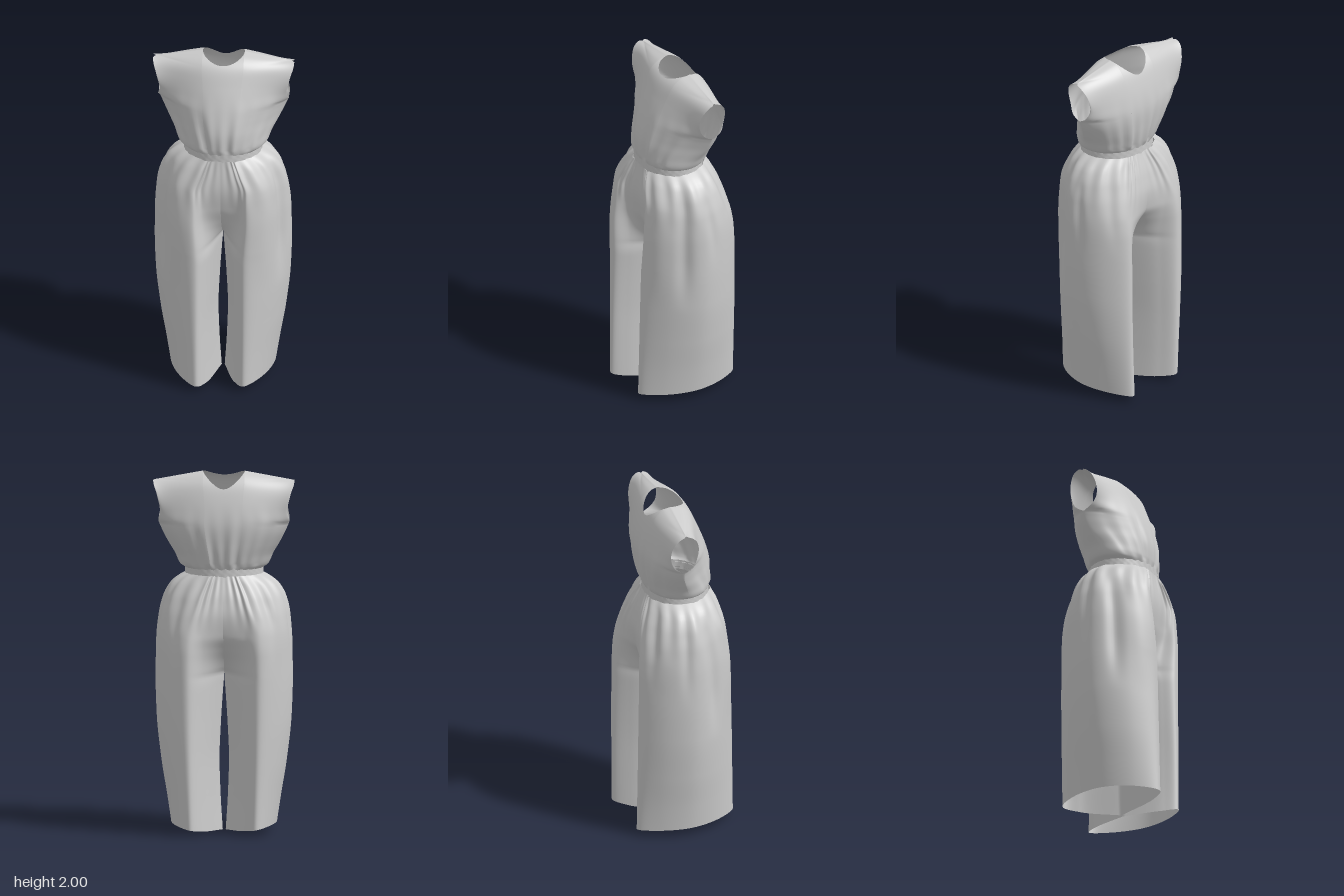
import * as THREE from 'three';
import { mergeGeometries, mergeVertices } from 'three/addons/utils/BufferGeometryUtils.js';

const cloth = new THREE.MeshStandardMaterial({ color: 0xcccccc, roughness: 0.9, side: THREE.DoubleSide });
const { lerp, clamp, smoothstep } = THREE.MathUtils;

// Smooth curve through [key, value] pairs sorted by key, without overshoot
function curve(pairs) {
  const slope = (i) => (pairs[i + 1][1] - pairs[i][1]) / (pairs[i + 1][0] - pairs[i][0]);
  const last = pairs.length - 1;
  const tangent = (i) => {
    if (i === 0) return slope(0);
    if (i === last) return slope(last - 1);
    const a = slope(i - 1), b = slope(i);
    return a * b <= 0 ? 0 : (2 * a * b) / (a + b);
  };
  return (key) => {
    const k = clamp(key, pairs[0][0], pairs[last][0]);
    let i = 0;
    while (i < last - 1 && k > pairs[i + 1][0]) i++;
    const h = pairs[i + 1][0] - pairs[i][0], t = (k - pairs[i][0]) / h;
    const a = t * t * (3 - 2 * t);
    return pairs[i][1] * (1 - a) + pairs[i + 1][1] * a
      + h * (tangent(i) * t * (1 - t) * (1 - t) - tangent(i + 1) * t * t * (1 - t));
  };
}

// Cloth sheet from a point rule: point(column, row) gives [x, y, z]
function sheet(cols, rows, point) {
  const pos = [], index = [];
  for (let r = 0; r <= rows; r++)
    for (let c = 0; c <= cols; c++) pos.push(...point(c, r));
  for (let r = 0; r < rows; r++)
    for (let c = 0; c < cols; c++) {
      const a = r * (cols + 1) + c, b = a + cols + 1;
      index.push(a, a + 1, b, a + 1, b + 1, b);
    }
  const geo = new THREE.BufferGeometry();
  geo.setAttribute('position', new THREE.Float32BufferAttribute(pos, 3));
  geo.setIndex(index);
  return geo;
}

function addMesh(group, name, geometry) {
  const geo = mergeVertices(geometry, 1e-4);
  geo.computeVertexNormals();
  const mesh = new THREE.Mesh(geo, cloth);
  mesh.name = name;
  group.add(mesh);
}

// ---- Bodice ----
const SHOULDER_Z = -0.06, NECK_X = 0.115, TOP_X = 0.388;
const bodiceWidth = curve([[1.46, 0.215], [1.48, 0.243], [1.54, 0.27], [1.6, 0.304], [1.68, 0.343], [1.73, 0.36],
  [1.79, 0.35], [1.88, 0.368], [1.95, 0.388], [2, 0.388]]);
const profile = (pts) => new THREE.CatmullRomCurve3(pts.map(([y, z]) => new THREE.Vector3(0, y, z)));
const panels = {
  front: { side: 1, neckDepth: 0.105, fall: [2, 0.85], path: profile([[1.46, 0.182], [1.51, 0.188], [1.6, 0.187],
    [1.72, 0.158], [1.85, 0.108], [1.95, 0.057], [1.985, 0.01], [2, SHOULDER_Z]]) },
  back: { side: -1, neckDepth: 0.11, fall: [2.5, 0.62], path: profile([[1.46, -0.172], [1.51, -0.188], [1.6, -0.205],
    [1.72, -0.214], [1.85, -0.191], [1.94, -0.155], [1.985, -0.108], [2, SHOULDER_Z]]) },
};

function bodicePoint(panel, u, t) {
  const p = panel.path.getPoint(t), up = smoothstep(p.y, 1.46, 1.65), au = Math.abs(u);
  // shoulders slope down outward
  const slope = clamp((au * TOP_X - NECK_X) / (TOP_X - NECK_X), 0, 1);
  const y = p.y - 0.05 * slope * smoothstep(p.y, 1.5, 2);
  // side seam opens into the armhole
  const k = (y - 1.835) / 0.117;
  const edge = lerp(0.005, SHOULDER_Z, smoothstep(y, 1.46, 1.7))
    + panel.side * 0.08 * au ** 2.5 * Math.sqrt(Math.max(0, 1 - k * k));
  const round = Math.pow(1 - Math.pow(au, lerp(2, panel.fall[0], up)), lerp(0.5, panel.fall[1], up));
  // gathers rising from the waist
  const gather = 0.0045 * smoothstep(y, 1.46, 1.5) * (1 - smoothstep(y, 1.52, 1.85)) * (1 - au ** 4);
  const fold = gather * (Math.sin(u * 27 + panel.side) + 0.9 * Math.sin(u * 15 + y * 6));
  return [u * bodiceWidth(y), y, edge + (p.z - edge) * round + panel.side * fold];
}

function bodicePanel(panel) {
  const inner = 12, outer = 24, half = inner + outer, rows = 72, neckU = NECK_X / TOP_X;
  return sheet(half * 2, rows, (c, r) => {
    const n = Math.abs(c - half);
    const au = n <= inner ? neckU * Math.sin((n / inner) * Math.PI / 2)
      : lerp(neckU, 1, Math.sin(((n - inner) / outer) * Math.PI / 2));
    const u = au * Math.sign(c - half) * panel.side;
    // columns under the neck stop at the oval neckline
    let end = 1;
    if (n < inner) {
      const reach = panel.neckDepth * Math.sqrt(1 - (au / neckU) ** 2);
      let lo = 0.5;
      for (let i = 0; i < 24; i++) {
        const mid = (lo + end) / 2;
        if (panel.side * (bodicePoint(panel, u, mid)[2] - SHOULDER_Z) > reach) lo = mid; else end = mid;
      }
    }
    return bodicePoint(panel, u, end * r / rows);
  });
}

// ---- Trousers: one open loop per height, closing below the crotch ----
const leg = {
  width: curve([[0, 0.282], [0.2, 0.312], [0.4, 0.344], [0.65, 0.37], [0.85, 0.376], [1.05, 0.374],
    [1.2, 0.362], [1.3, 0.336], [1.37, 0.296], [1.41, 0.25], [1.43, 0.215]]),
  front: curve([[0, 0.286], [0.6, 0.274], [1, 0.262], [1.2, 0.244], [1.3, 0.225], [1.38, 0.203], [1.43, 0.182]]),
  back: curve([[0, -0.288], [0.6, -0.284], [1, -0.278], [1.2, -0.25], [1.3, -0.224], [1.38, -0.192], [1.43, -0.17]]),
  frontX: curve([[0, 0.13], [0.8, 0.135], [1.1, 0.15], [1.25, 0.15], [1.35, 0.115], [1.43, 0.08]]),
  backX: curve([[0, 0.18], [0.6, 0.195], [1.1, 0.2], [1.3, 0.145], [1.43, 0.085]]),
  inner: curve([[0, 0.008], [0.2, 0.02], [0.4, 0.026], [0.6, 0.018], [0.8, 0.005], [0.87, 0], [1.43, 0]]),
  seamFront: curve([[0, -0.005], [0.87, -0.005], [0.9, 0.045], [0.95, 0.1], [1.02, 0.15], [1.12, 0.19],
    [1.25, 0.206], [1.43, 0.184]]),
  seamBack: curve([[0, -0.005], [0.87, -0.005], [0.9, -0.045], [0.95, -0.1], [1.02, -0.17], [1.1, -0.222],
    [1.2, -0.234], [1.3, -0.217], [1.43, -0.172]]),
};

function legSection(y) {
  const [w, f, b, fx, bx, i, sf, sb] = ['width', 'front', 'back', 'frontX', 'backX', 'inner', 'seamFront', 'seamBack']
    .map((key) => leg[key](y));
  // flat belly and seat above, straight inner leg below
  const high = smoothstep(y, 0.8, 1.15);
  const belly = lerp(0.75, 0.25, high), seat = lerp(0.72, 0.5, high);
  return new THREE.CatmullRomCurve3([
    [i, sf], [lerp(i, fx, lerp(0.55, 0.65, high)), lerp(sf, f, belly)], [fx, f], [lerp(fx, w, 0.64), f * 0.63], [w, 0],
    [lerp(bx, w, 0.7), b * 0.63], [bx, b], [lerp(i, bx, 0.55), lerp(sb, b, seat)], [i, sb],
  ].map(([x, z]) => new THREE.Vector3(x, 0, z)));
}

// Long hanging folds: place around the leg, depth, spread, lowest height
const folds = [[0.33, 0.008, 0.035, 0.6], [0.42, -0.02, 0.026, 0.6], [0.54, -0.014, 0.02, 0.85], [0.68, -0.01, 0.022, 0.9]];

function trouserLeg(side) {
  const cols = 110, rows = 100;
  return sheet(cols, rows, (c, r) => {
    const s = side > 0 ? c / cols : 1 - c / cols;
    const hem = 0.05 * Math.sin(Math.PI * s);
    const y = lerp(hem, 1.43, r / rows);
    const section = legSection(y), p = section.getPoint(s), d = section.getTangent(s);
    // fine gathers at the waist running into the folds
    const keep = Math.min(1, 8 * s * (1 - s));
    const fine = 0.006 * smoothstep(y, 1.1, 1.36) * (1 - 0.6 * smoothstep(y, 1.38, 1.43));
    let push = keep * fine * Math.sin(s * 82 + side);
    for (const [at, depth, spread, low] of folds)
      push += depth * Math.exp(-(((s - at) / spread) ** 2)) * smoothstep(y, low, low + 0.35)
        * (1 - smoothstep(y, 1.25, 1.42));
    // one leg hangs slightly further forward than the other
    const lean = -0.01 * side * keep * (1 - smoothstep(y, 0.9, 1.35));
    return [side * (p.x - d.z * push), y, p.z + d.x * push + lean];
  });
}

// ---- Gathered waistband ----
function waistband() {
  const cols = 120, rows = 8;
  return sheet(cols, rows, (c, r) => {
    const a = (c % cols) / cols * Math.PI * 2, v = r / rows;
    const swell = 0.002 * Math.sin(a * 30) * Math.abs(2 * v - 1);
    return [Math.sin(a) * (0.216 + swell), lerp(1.415, 1.472, v), 0.005 + Math.cos(a) * (0.179 + swell)];
  });
}

export function createModel() {
  const group = new THREE.Group();
  group.name = 'jumpsuit';
  addMesh(group, 'bodice', mergeGeometries([bodicePanel(panels.front), bodicePanel(panels.back)]));
  addMesh(group, 'waistband', waistband());
  addMesh(group, 'leftTrouserLeg', trouserLeg(1));
  addMesh(group, 'rightTrouserLeg', trouserLeg(-1));
  return group;
}
